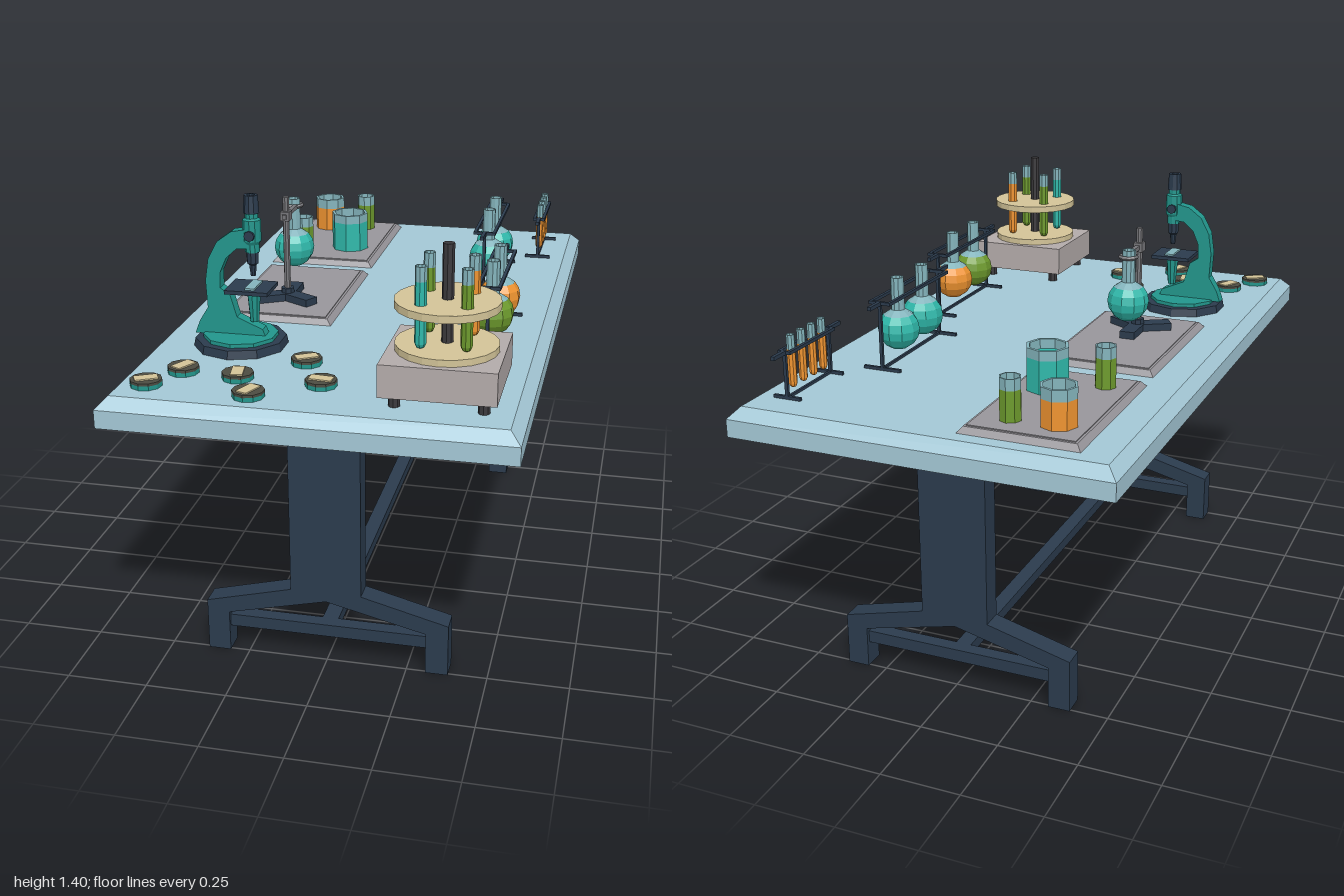
import * as THREE from 'three';

const NAVY = 0x2b3b4d, TEAL = 0x2fb8aa, DEEP_TEAL = 0x22968c, GREEN = 0x6d9a2d, ORANGE = 0xee9330;
const GLASS = 0x84b4bc, TAN = 0xd3c498, TOP = 0xa4c8d6, TRAY = 0x98969b, STEEL = 0x77777b, DARK = 0x3c3a3d;
const TABLE_Y = 0.927;

const materials = new Map();
function mat(color) {
  if (!materials.has(color)) {
    materials.set(color, new THREE.MeshStandardMaterial({ color, flatShading: true, side: THREE.DoubleSide }));
  }
  return materials.get(color);
}
function add(parent, name, geometry, color, x = 0, y = 0, z = 0) {
  const mesh = new THREE.Mesh(geometry, mat(color));
  mesh.name = name;
  mesh.position.set(x, y, z);
  parent.add(mesh);
  return mesh;
}
function subGroup(parent, name, x, y, z) {
  const g = new THREE.Group();
  g.name = name;
  g.position.set(x, y, z);
  parent.add(g);
  return g;
}
const box = (w, h, d) => new THREE.BoxGeometry(w, h, d);
// Cylinder standing on its own base
const post = (r, h, n = 8, rTop = r) => new THREE.CylinderGeometry(rTop, r, h, n).translate(0, h / 2, 0);
const lathe = (pts, n = 10) => new THREE.LatheGeometry(pts.map(p => new THREE.Vector2(...p)), n);
const outline = pts => new THREE.Shape(pts.map(p => new THREE.Vector2(...p)));
function extrudeCentred(shape, depth) {
  return new THREE.ExtrudeGeometry(shape, { depth, bevelEnabled: false }).translate(0, 0, -depth / 2);
}
// Slab standing on its base, with the upper face pulled inwards
function slab(w, h, d, inset) {
  const g = box(w, h, d).translate(0, h / 2, 0), p = g.attributes.position;
  for (let i = 0; i < p.count; i++) {
    if (p.getY(i) > h / 2) {
      p.setX(i, p.getX(i) - Math.sign(p.getX(i)) * inset);
      p.setZ(i, p.getZ(i) - Math.sign(p.getZ(i)) * inset);
    }
  }
  return g;
}

function buildTable(root) {
  const table = subGroup(root, 'table', 0, 0, 0);
  add(table, 'tableTop', box(1.2, 0.056, 2), TOP, 0, 0.865, 0);
  add(table, 'tableTopChamfer', slab(1.2, 0.034, 2, 0.033), TOP, 0, 0.893, 0);
  // Leg frame: two feet, an arch and a wide column
  const half = [[0, 0.21], [0.31, 0.135], [0.31, 0], [0.38, 0], [0.38, 0.17], [0.11, 0.24], [0.11, 0.838]];
  const leg = outline([...half, ...half.slice(1).reverse().map(([x, y]) => [-x, y])]);
  for (const s of [-1, 1]) {
    add(table, 'legFrame', extrudeCentred(leg, 0.07), NAVY, 0, 0, s * 0.723);
    add(table, 'footCrossbar', box(0.63, 0.04, 0.045), NAVY, 0, 0.1, s * 0.723);
  }
  add(table, 'stretcher', box(0.05, 0.036, 1.4), NAVY, 0, 0.1, 0);
}

// Straight vessel: liquid below, open glass wall above
function vessel(parent, name, x, y, z, r, h, fill, color, n = 8) {
  const g = subGroup(parent, name, x, y, z);
  add(g, 'liquid', post(r, fill, n), color);
  add(g, 'glassWall', lathe([[r, fill], [r, h], [r * 0.85, h], [r * 0.85, fill]], n), GLASS);
}
// Tube with a rounded bottom
function testTube(parent, x, y, z, r, h, fill, color) {
  const g = subGroup(parent, 'testTube', x, y, z);
  add(g, 'liquid', lathe([[0, 0], [r * 0.7, r * 0.35], [r, r], [r, fill], [0, fill]], 8), color);
  add(g, 'glassWall', lathe([[r, fill], [r, h], [r * 0.8, h], [r * 0.8, fill]], 8), GLASS);
}
// Round-bottomed flask, placed by the centre of its bulb
function flask(parent, x, y, z, color) {
  const g = subGroup(parent, 'flask', x, y, z), R = 0.067, arc = [];
  for (let i = 0; i <= 6; i++) {
    const a = -Math.PI / 2 + i * Math.PI * 0.125;
    arc.push([Math.max(0, R * Math.cos(a)), R * Math.sin(a)]);
  }
  const [rx, ry] = arc[6];
  add(g, 'liquid', lathe([...arc, [0.02, 0.063]], 10), color);
  add(g, 'glassShoulder', lathe([[rx, ry], [0.022, 0.064], [0.021, 0.168], [0.017, 0.168], [0.017, 0.06]], 10), GLASS);
  add(g, 'neckLiquid', post(0.017, 0.03, 8), color, 0, 0.05, 0);
}

// Rod rack with end posts, twin rails and protruding handles
function rack(root, name, x, z0, z1, h, railX, footX, overhang) {
  const g = subGroup(root, name, x, TABLE_Y, (z0 + z1) / 2);
  const len = z1 - z0, t = 0.01;
  for (const s of [-1, 1]) {
    const z = s * len / 2;
    add(g, 'rackPost', box(t, h, t), NAVY, 0, h / 2, z);
    add(g, 'rackFoot', box(footX * 2, t, t), NAVY, 0, t / 2, z);
    add(g, 'rackCrossbar', box(railX * 2 + t, t, t), NAVY, 0, h, z);
    add(g, 'rackHandle', box(t * 1.2, t * 1.2, overhang), NAVY, 0, h, z + s * overhang / 2);
    add(g, 'rackRail', box(t, t, len), NAVY, s * railX, h, 0);
  }
  add(g, 'lowerRail', box(t * 0.8, t * 0.8, len), NAVY, 0, t / 2, 0);
}

function buildTrays(root) {
  for (const [x, z] of [[-0.285, -0.64], [-0.28, -0.005]]) {
    const g = subGroup(root, 'tray', x, TABLE_Y, z);
    add(g, 'trayBody', slab(0.37, 0.018, 0.56, 0.015), TRAY);
    add(g, 'trayPanel', box(0.325, 0.004, 0.515), TRAY, 0, 0.019, 0);
  }
  const y = 0.947;
  vessel(root, 'beaker', -0.36, y, -0.8, 0.056, 0.12, 0.085, ORANGE);
  vessel(root, 'beaker', -0.22, y, -0.54, 0.067, 0.135, 0.105, TEAL);
  vessel(root, 'smallBeaker', -0.22, y, -0.815, 0.033, 0.13, 0.095, GREEN);
  vessel(root, 'smallBeaker', -0.375, y, -0.465, 0.033, 0.13, 0.095, GREEN);
}

function buildClampStand(root) {
  const g = subGroup(root, 'clampStand', -0.285, 0.948, 0.095);
  for (let i = 0; i < 3; i++) {
    const a = Math.PI + i * Math.PI * 2 / 3;
    const arm = add(g, 'tripodArm', box(0.05, 0.024, 0.11).translate(0, 0.012, 0.055), NAVY);
    arm.rotation.y = a;
  }
  add(g, 'standCollar', post(0.022, 0.04), NAVY);
  add(g, 'standRod', post(0.011, 0.347), STEEL);
  add(g, 'clampArm', box(0.014, 0.014, 0.14), STEEL, 0, 0.285, -0.045);
  add(g, 'clampKnob', box(0.03, 0.03, 0.035), STEEL, 0, 0.285, 0);
  const ring = add(g, 'clampRing', new THREE.TorusGeometry(0.026, 0.007, 5, 10), STEEL, -0.01, 0.285, -0.138);
  ring.rotation.x = Math.PI / 2;
  flask(root, -0.297, 1.088, -0.043, TEAL);
}

function buildMicroscope(root) {
  const g = subGroup(root, 'microscope', 0, 0, 0.487);
  add(g, 'microscopeBase', post(0.145, 0.026, 10, 0.14), NAVY, -0.325, TABLE_Y, 0);
  add(g, 'basePlate', post(0.115, 0.012, 10), DEEP_TEAL, -0.325, 0.953, 0);
  // Curved arm with a wedge-shaped foot
  const arm = outline([[-0.465, 0.96], [-0.45, 1.0], [-0.422, 1.045], [-0.426, 1.13], [-0.415, 1.2], [-0.385, 1.255],
    [-0.34, 1.288], [-0.28, 1.3], [-0.28, 1.24], [-0.325, 1.235], [-0.358, 1.205], [-0.378, 1.16], [-0.38, 1.11],
    [-0.35, 1.09], [-0.33, 1.02], [-0.25, 0.985], [-0.24, 0.96]]);
  add(g, 'curvedArm', extrudeCentred(arm, 0.04), DEEP_TEAL);
  add(g, 'stage', box(0.135, 0.012, 0.12), NAVY, -0.288, 1.11, 0);
  add(g, 'specimenSlide', box(0.03, 0.006, 0.09), GLASS, -0.28, 1.119, 0);
  add(g, 'condenser', post(0.014, 0.1, 8, 0.022), DEEP_TEAL, -0.28, 1.005, 0);
  // Optical tube
  add(g, 'objective', lathe([[0, 1.15], [0.008, 1.15], [0.012, 1.185], [0.018, 1.19], [0.02, 1.235], [0, 1.235]], 8), NAVY, -0.28);
  add(g, 'opticalTube', lathe([[0, 1.225], [0.022, 1.225], [0.022, 1.25], [0.028, 1.26], [0.028, 1.325], [0.02, 1.33],
    [0.02, 1.355], [0, 1.355]], 10), DEEP_TEAL, -0.28);
  add(g, 'eyepiece', lathe([[0, 1.345], [0.024, 1.345], [0.021, 1.4], [0.012, 1.4], [0.012, 1.38], [0, 1.38]], 10), NAVY, -0.28);
  for (const s of [-1, 1]) {
    const knob = add(g, 'focusKnob', post(0.016, 0.014, 8), NAVY, -0.28, 1.28, s * 0.02);
    knob.rotation.x = s * Math.PI / 2;
  }
}

function buildDishes(root) {
  // x, z and turn of the specimen strip
  const dishes = [[-0.085, 0.61, 0.55], [-0.42, 0.75, 1.1], [-0.25, 0.765, 1.75], [0, 0.77, -0.1], [-0.49, 0.87, 0.5], [-0.18, 0.89, 1.2]];
  for (const [x, z, turn] of dishes) {
    const g = subGroup(root, 'specimenDish', x, TABLE_Y, z);
    g.rotation.y = turn;
    add(g, 'dish', post(0.047, 0.013, 10), DEEP_TEAL);
    add(g, 'dishLid', post(0.047, 0.008, 10), 0x4c4c42, 0, 0.013, 0);
    add(g, 'specimenStrip', box(0.068, 0.005, 0.036), TAN, 0, 0.0225, 0);
  }
}

function buildTubeCarousel(root) {
  const g = subGroup(root, 'tubeCarousel', 0.357, 0, 0.745);
  add(g, 'carouselBase', box(0.33, 0.097, 0.33), 0xb3abaa, 0, 1.0115, 0);
  for (const sx of [-1, 1]) for (const sz of [-1, 1]) {
    add(g, 'carouselFoot', post(0.017, 0.037), DARK, sx * 0.125, TABLE_Y, sz * 0.125);
    const color = sx === sz ? GREEN : sx < 0 ? TEAL : ORANGE;
    testTube(g, sx * 0.064, 1.078, sz * 0.067, 0.017, 0.238, 0.195, color);
  }
  // Upper plate has holes for the tubes
  add(g, 'lowerPlate', post(0.148, 0.02, 20), TAN, 0, 1.06, 0);
  const plate = new THREE.Shape().absarc(0, 0, 0.15, 0, Math.PI * 2);
  for (const sx of [-1, 1]) for (const sz of [-1, 1]) {
    plate.holes.push(new THREE.Path().absarc(sx * 0.064, sz * 0.067, 0.0175, 0, Math.PI * 2, true));
  }
  const upper = new THREE.ExtrudeGeometry(plate, { depth: 0.022, bevelEnabled: false, curveSegments: 10 });
  add(g, 'upperPlate', upper.rotateX(-Math.PI / 2), TAN, 0, 1.184, 0);
  add(g, 'centreRod', post(0.017, 0.295), DARK, 0, 1.07, 0);
}

export function createModel() {
  const root = new THREE.Group();
  root.name = 'laboratoryTable';
  buildTable(root);
  buildTrays(root);
  buildClampStand(root);
  buildMicroscope(root);
  buildDishes(root);
  buildTubeCarousel(root);

  rack(root, 'flaskRack', 0.337, -0.535, -0.14, 0.217, 0.032, 0.063, 0.068);
  flask(root, 0.337, 1.03, -0.42, TEAL);
  flask(root, 0.337, 1.03, -0.255, TEAL);
  rack(root, 'flaskRack', 0.43, 0.05, 0.443, 0.217, 0.032, 0.063, 0.068);
  flask(root, 0.43, 1.03, 0.167, ORANGE);
  flask(root, 0.43, 1.03, 0.335, GREEN);

  rack(root, 'testTubeRack', 0.473, -0.865, -0.62, 0.145, 0.016, 0.045, 0.065);
  for (let i = 0; i < 4; i++) testTube(root, 0.473, 0.952, -0.83 + i * 0.057, 0.013, 0.165, 0.12, ORANGE);
  return root;
}
